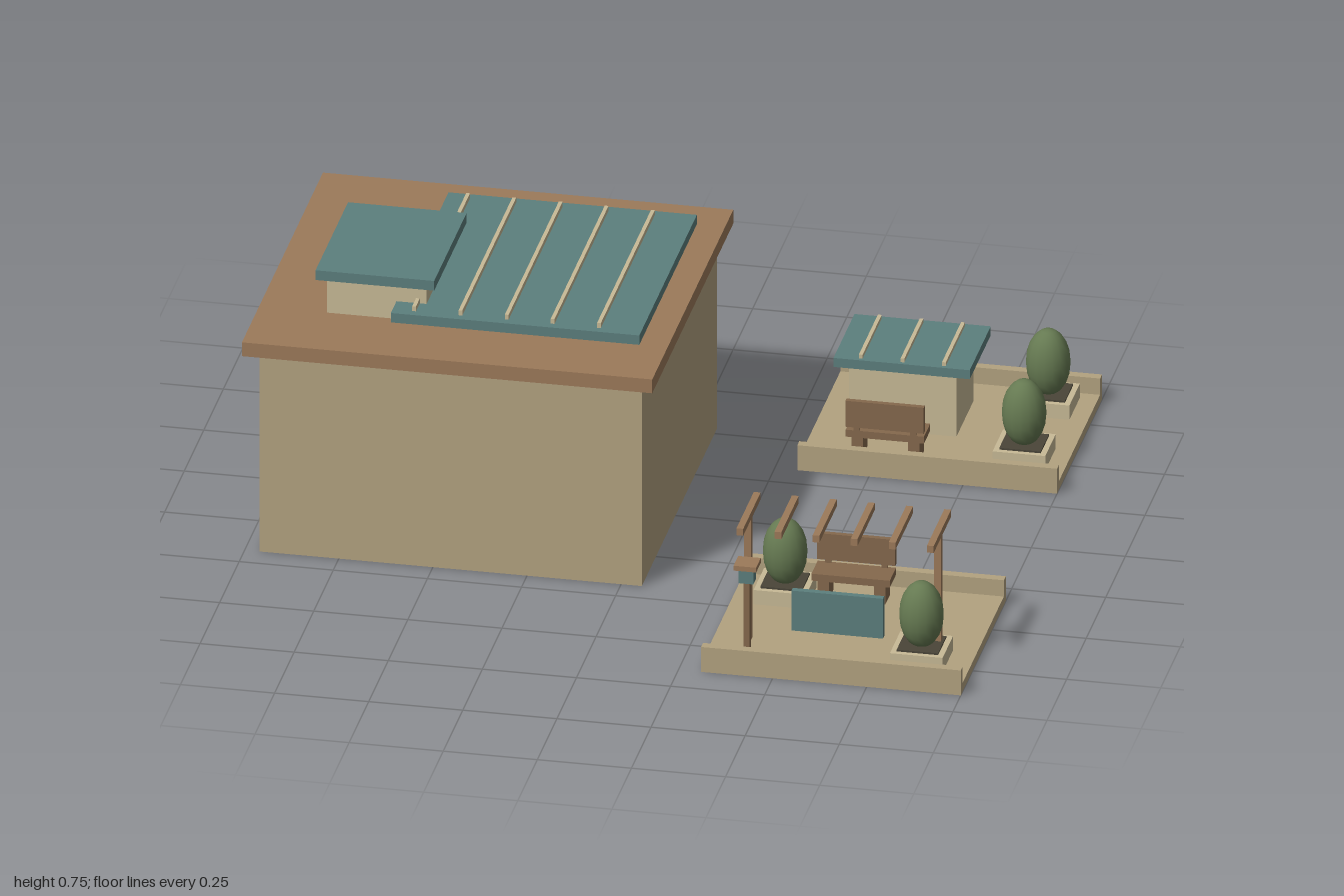
import * as THREE from 'three';

const mat = (color) => new THREE.MeshStandardMaterial({ color, flatShading: true });
const WALL = mat(0xb2a280), TRIM = mat(0xc8ba96), BROWN = mat(0x9c7a5a), WOOD = mat(0x85694d);
const TEAL = mat(0x5c7f7d), GLASS = mat(0x3e5558), SOIL = mat(0x4a4538);
const LEAF = new THREE.MeshStandardMaterial({ color: 0x667a52 });

// Box given by its extents on each axis
function box(parent, name, material, [x0, x1], [y0, y1], [z0, z1]) {
  const m = new THREE.Mesh(new THREE.BoxGeometry(x1 - x0, y1 - y0, z1 - z0), material);
  m.position.set((x0 + x1) / 2, (y0 + y1) / 2, (z0 + z1) / 2);
  m.name = name;
  parent.add(m);
  return m;
}

const around = (c, r) => [c - r, c + r];

function group(parent, name) {
  const g = new THREE.Group();
  g.name = name;
  parent.add(g);
  return g;
}

// Slab with a low wall along its front and rear edges
function terrace(parent, z0, z1) {
  box(parent, 'terraceFloor', WALL, [0.31, 1], [0, 0.025], [z0, z1]);
  box(parent, 'terraceRearWall', WALL, [0.31, 1], [0.025, 0.072], [z0, z0 + 0.025]);
  box(parent, 'terraceFrontWall', WALL, [0.31, 1], [0.025, 0.072], [z1 - 0.025, z1]);
}

// Square planter with soil and an egg-shaped shrub
function planter(parent, x, z) {
  const g = group(parent, 'planter');
  box(g, 'planterBase', TRIM, around(x, 0.07), [0.025, 0.066], around(z, 0.067));
  box(g, 'soil', SOIL, around(x, 0.055), [0.06, 0.071], around(z, 0.053));
  const shrub = new THREE.Mesh(new THREE.SphereGeometry(1, 16, 10), LEAF);
  shrub.scale.set(0.059, 0.094, 0.056);
  shrub.position.set(x, 0.155, z);
  shrub.name = 'shrub';
  g.add(shrub);
}

// Bench; side is the z direction its back is on
function bench(parent, x, z, side) {
  const g = group(parent, 'bench');
  box(g, 'seat', WOOD, around(x, 0.104), [0.08, 0.1], around(z, 0.04));
  box(g, 'backrest', WOOD, around(x, 0.104), [0.11, 0.185], around(z + side * 0.036, 0.007));
  for (const s of [-1, 1]) {
    box(g, 'leg', WOOD, around(x + s * 0.075, 0.015), [0.025, 0.08], around(z, 0.03));
    box(g, 'backSupport', WOOD, around(x + s * 0.075, 0.008), [0.1, 0.11], around(z + side * 0.036, 0.004));
  }
}

// Post with a teal lantern and a brown cap
function lamp(parent, x, z, top) {
  const g = group(parent, 'lamp');
  box(g, 'lampPost', WOOD, around(x, 0.008), [0.025, top - 0.05], around(z, 0.008));
  box(g, 'lantern', TEAL, around(x, 0.02), [top - 0.055, top - 0.012], around(z, 0.018));
  box(g, 'lampCap', BROWN, around(x, 0.03), [top - 0.014, top], around(z, 0.03));
}

// Teal slab with thin raised ribs
function ribbedRoof(parent, x, y, z, ribs, ribZ, ribTop) {
  const g = group(parent, 'ribbedRoof');
  box(g, 'roofPanel', TEAL, x, y, z);
  for (const r of ribs) box(g, 'rib', TRIM, around(r, 0.005), [y[1], ribTop], ribZ);
}

// Window on the rear wall with shutters and sill
function rearWindow(parent, x) {
  const g = group(parent, 'window');
  box(g, 'glass', GLASS, around(x, 0.1), [0.18, 0.435], [-0.542, -0.53]);
  for (const s of [-1, 1]) {
    box(g, 'shutter', TEAL, around(x + s * 0.118, 0.024), [0.18, 0.445], [-0.552, -0.53]);
  }
  box(g, 'sill', TRIM, around(x, 0.147), [0.148, 0.18], [-0.607, -0.53]);
}

export function createModel() {
  const model = new THREE.Group();
  model.name = 'house';

  // Main building
  const house = group(model, 'mainBuilding');
  box(house, 'walls', WALL, [-0.96, 0.055], [0, 0.58], [-0.53, 0.43]);
  box(house, 'roofSlab', BROWN, [-1, 0.09], [0.577, 0.617], [-0.57, 0.465]);
  box(house, 'roofHut', TRIM, [-0.82, -0.555], [0.617, 0.722], [-0.125, 0.246]);
  box(house, 'roofHutCap', TEAL, [-0.845, -0.53], [0.72, 0.748], [-0.145, 0.27]);
  ribbedRoof(house, [-0.635, 0.025], [0.641, 0.668], [-0.418, 0.318],
    [-0.578, -0.455, -0.332, -0.21, -0.087], [-0.395, 0.295], 0.682);

  // Rear facade
  rearWindow(house, -0.147);
  rearWindow(house, -0.762);
  box(house, 'door', GLASS, around(-0.453, 0.1), [0.04, 0.4], [-0.543, -0.53]);
  box(house, 'doorStep', TRIM, [-0.6, -0.308], [0, 0.042], [-0.637, -0.53]);

  // Rear terrace with kiosk
  const rear = group(model, 'rearTerrace');
  terrace(rear, -0.905, -0.33);
  planter(rear, 0.882, -0.785);
  planter(rear, 0.882, -0.477);
  bench(rear, 0.53, -0.43, 1);
  lamp(rear, 0.405, -0.802, 0.212);
  box(rear, 'kioskBody', TRIM, [0.4, 0.685], [0.025, 0.205], [-0.775, -0.56]);
  box(rear, 'kioskCounterPanel', GLASS, [0.43, 0.655], [0.09, 0.19], [-0.787, -0.775]);
  ribbedRoof(rear, [0.362, 0.724], [0.203, 0.229], [-0.81, -0.542],
    [0.432, 0.543, 0.653], [-0.797, -0.553], 0.24);

  // Front terrace with pergola
  const front = group(model, 'frontTerrace');
  terrace(front, 0.325, 0.9);
  planter(front, 0.442, 0.46);
  planter(front, 0.866, 0.757);
  bench(front, 0.618, 0.43, -1);
  lamp(front, 0.415, 0.815, 0.288);
  box(front, 'signPanel', TEAL, [0.532, 0.775], [0.1, 0.215], [0.795, 0.812]);
  for (const x of [0.4, 0.905]) {
    box(front, 'pergolaPost', BROWN, around(x, 0.009), [0.025, 0.375], around(0.73, 0.009));
  }
  for (let i = 0; i < 6; i++) {
    box(front, 'pergolaBeam', BROWN, around(0.4 + i * 0.1012, 0.009), [0.373, 0.393], [0.615, 0.837]);
  }
  return model;
}
